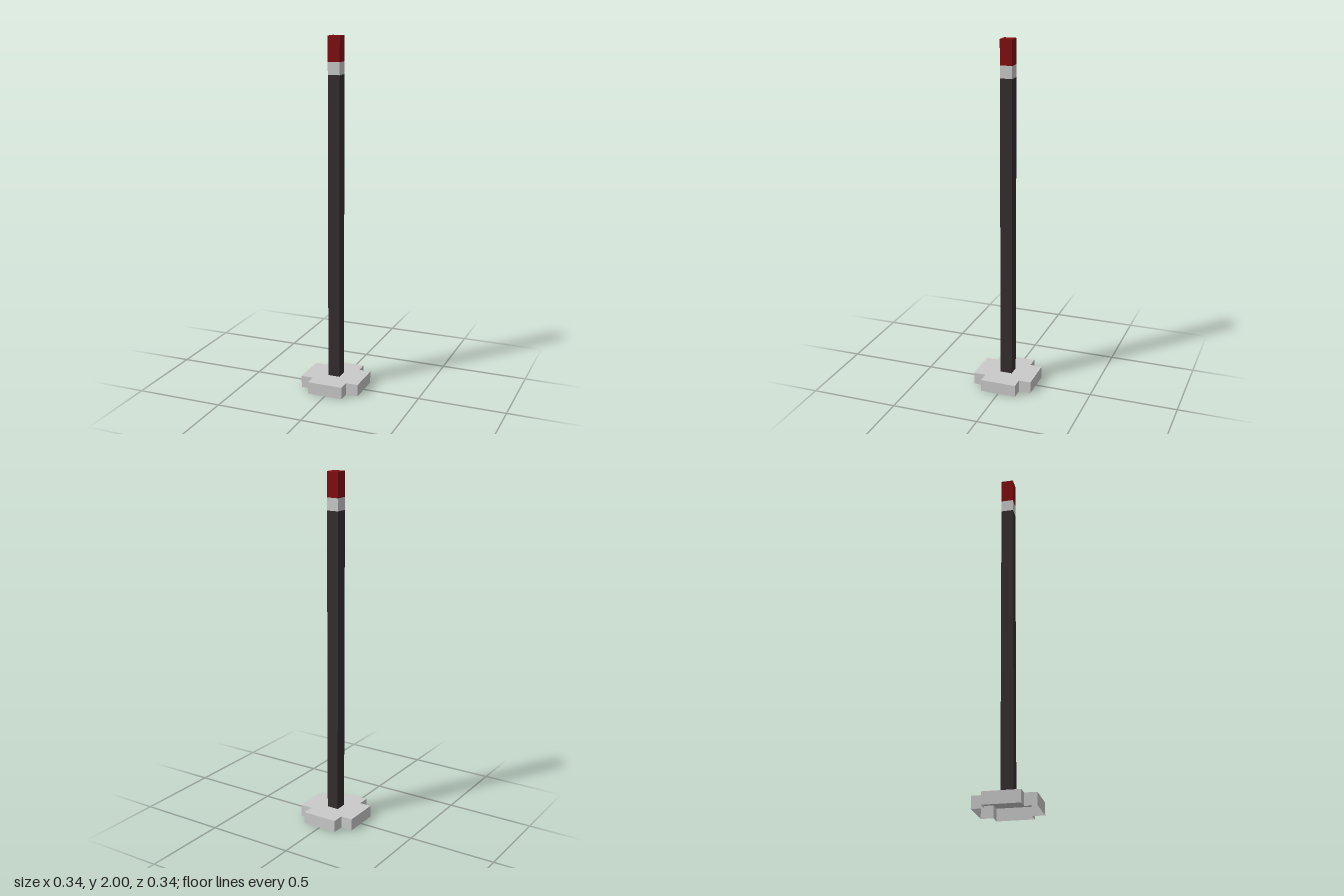
import * as THREE from 'three';

const U = 0.069;        // one grid cell: post width and base height
const OUT = U * 2.5;    // outer reach of the base
const IN = U * 1.5;     // half width of each base arm

function material(name, color, side = THREE.FrontSide) {
  const m = new THREE.MeshStandardMaterial({ color, side });
  m.name = name;
  return m;
}

export function createModel() {
  const group = new THREE.Group();
  group.name = 'markerPost';
  const lightGrey = material('light grey', 0xcacaca, THREE.DoubleSide);
  const charcoal = material('charcoal', 0x352d2f);
  const darkRed = material('dark red', 0x800e11);

  const add = (name, geometry, mat, parent = group) => {
    const mesh = new THREE.Mesh(geometry, mat);
    mesh.name = name;
    parent.add(mesh);
    return mesh;
  };

  // Base: a notched square tray, hollow and open underneath
  const base = new THREE.Group();
  base.name = 'base';
  group.add(base);
  const outline = [
    [OUT, -IN], [OUT, IN], [IN, IN], [IN, OUT], [-IN, OUT], [-IN, IN],
    [-OUT, IN], [-OUT, -IN], [-IN, -IN], [-IN, -OUT], [IN, -OUT], [IN, -IN],
  ].map(([x, z]) => new THREE.Vector2(x, z));

  // Top plate, with a hole where the post stands
  const plate = new THREE.Shape(outline);
  const h = U / 2;
  plate.holes.push(new THREE.Path([[-h, -h], [-h, h], [h, h], [h, -h]].map(([x, y]) => new THREE.Vector2(x, y))));
  const top = new THREE.ShapeGeometry(plate);
  top.rotateX(-Math.PI / 2);
  top.translate(0, U, 0);
  add('baseTop', top, lightGrey, base);

  // Thin side walls following the outline
  outline.forEach((a, i) => {
    const b = outline[(i + 1) % outline.length];
    const wall = new THREE.PlaneGeometry(a.distanceTo(b), U);
    const mesh = add('baseWall', wall, lightGrey, base);
    mesh.position.set((a.x + b.x) / 2, U / 2, (a.y + b.y) / 2);
    mesh.rotation.y = Math.atan2(b.y - a.y, -(b.x - a.x));
  });

  // Post: dark shaft, light band and red tip stacked on the base
  const section = (name, y0, y1, mat) => {
    const box = new THREE.BoxGeometry(U, y1 - y0, U);
    box.translate(0, (y0 + y1) / 2, 0);
    add(name, box, mat);
  };
  section('shaft', U, 2 - 3 * U, charcoal);
  section('band', 2 - 3 * U, 2 - 2 * U, lightGrey);
  section('tip', 2 - 2 * U, 2, darkRed);

  return group;
}
